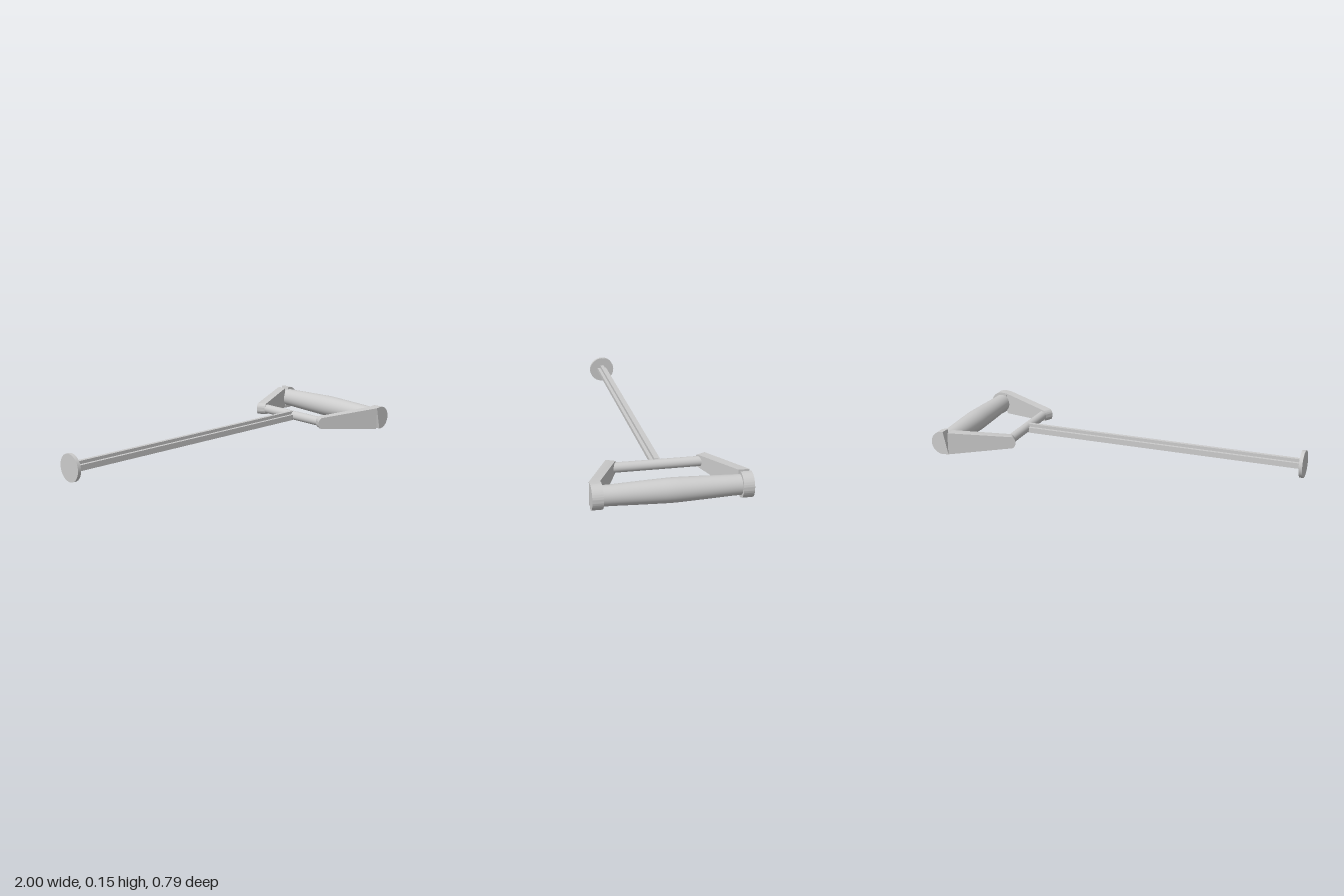
import * as THREE from 'three';
import { toCreasedNormals } from 'three/addons/utils/BufferGeometryUtils.js';

const GREY = new THREE.MeshStandardMaterial({ color: 0xcccccc });
const AXIS_Y = 0.0745;   // height of the common centre line
const BEND_X = 0.9;      // where the side arms turn inward
const ARM_T = 0.055;     // thickness of the side arms
const GRIP_X = 0.935;

function part(name, geometry) {
  const mesh = new THREE.Mesh(geometry, GREY);
  mesh.name = name;
  return mesh;
}

function extrude(shape, depth) {
  return new THREE.ExtrudeGeometry(shape, { depth, bevelEnabled: false, curveSegments: 28 });
}

// Rounded straight end of a side arm, holding the grip
function armEnd() {
  const s = new THREE.Shape();
  s.moveTo(BEND_X, -0.062);
  s.absarc(GRIP_X, 0, 0.065, -1.67, 1.67, false);
  s.lineTo(BEND_X, 0.062);
  s.closePath();
  return toCreasedNormals(extrude(s, ARM_T).translate(0, 0, 0.34), 0.5);
}

// Tapering length of a side arm, slanted toward the crossbar
function armTaper() {
  const s = new THREE.Shape();
  s.moveTo(BEND_X, -0.062);
  s.lineTo(BEND_X, 0.062);
  s.lineTo(0.605, 0.033);
  s.absellipse(0.605, 0, 0.02, 0.033, Math.PI / 2, Math.PI * 1.5, false, 0);
  s.closePath();
  const g = extrude(s, ARM_T);
  const p = g.attributes.position;
  for (let i = 0; i < p.count; i++) {
    const x = p.getX(i), t = p.getZ(i) / ARM_T;
    const u = (BEND_X - x) / 0.315;
    p.setX(i, x - 0.025 * t * u);
    p.setZ(i, 0.34 - 0.135 * u + t * (ARM_T - 0.011 * u));
  }
  return toCreasedNormals(g, 0.5);
}

// Cross-shaped section of the long rod
function crossShape(reach, half) {
  const s = new THREE.Shape();
  for (let k = 0; k < 4; k++) {
    const c = Math.round(Math.cos(k * Math.PI / 2)), n = Math.round(Math.sin(k * Math.PI / 2));
    for (const [a, b] of [[reach, -half], [reach, half], [half, half]]) {
      const x = a * c - b * n, y = a * n + b * c;
      if (k === 0 && b === -half) s.moveTo(x, y); else s.lineTo(x, y);
    }
  }
  s.closePath();
  return s;
}

export function createModel() {
  const model = new THREE.Group();
  model.name = 'plungerHandle';
  const body = new THREE.Group();
  body.name = 'body';
  body.position.y = AXIS_Y;
  model.add(body);

  // Long rod with an end disc
  const rod = part('rod', extrude(crossShape(0.027, 0.01), 1.59));
  rod.rotation.y = Math.PI / 2;
  rod.position.x = -0.99;
  const disc = part('endDisc', new THREE.CylinderGeometry(0.0735, 0.0735, 0.019, 48));
  disc.rotation.z = Math.PI / 2;
  disc.position.x = -0.9905;

  // Crossbar joining the rod to both arms
  const crossbar = part('crossbar', new THREE.CylinderGeometry(0.026, 0.026, 0.46, 32));
  crossbar.rotation.x = Math.PI / 2;
  crossbar.position.x = 0.609;

  // Barrel-shaped grip
  const profile = [[0.051, -0.345], [0.0515, -0.3], [0.057, -0.15], [0.0605, -0.04], [0.0613, 0],
    [0.0605, 0.04], [0.057, 0.15], [0.0515, 0.3], [0.051, 0.345]].map(([r, y]) => new THREE.Vector2(r, y));
  const grip = part('grip', new THREE.LatheGeometry(profile, 48));
  grip.rotation.x = Math.PI / 2;
  grip.position.x = GRIP_X;

  body.add(rod, disc, crossbar, grip);

  // The arms are symmetric top to bottom, so half a turn about x mirrors them
  const end = armEnd(), taper = armTaper();
  for (const [name, turn] of [['frontArm', 0], ['backArm', Math.PI]]) {
    const arm = new THREE.Group();
    arm.name = name;
    arm.add(part('armEnd', end), part('armTaper', taper));
    arm.rotation.x = turn;
    body.add(arm);
  }
  return model;
}
